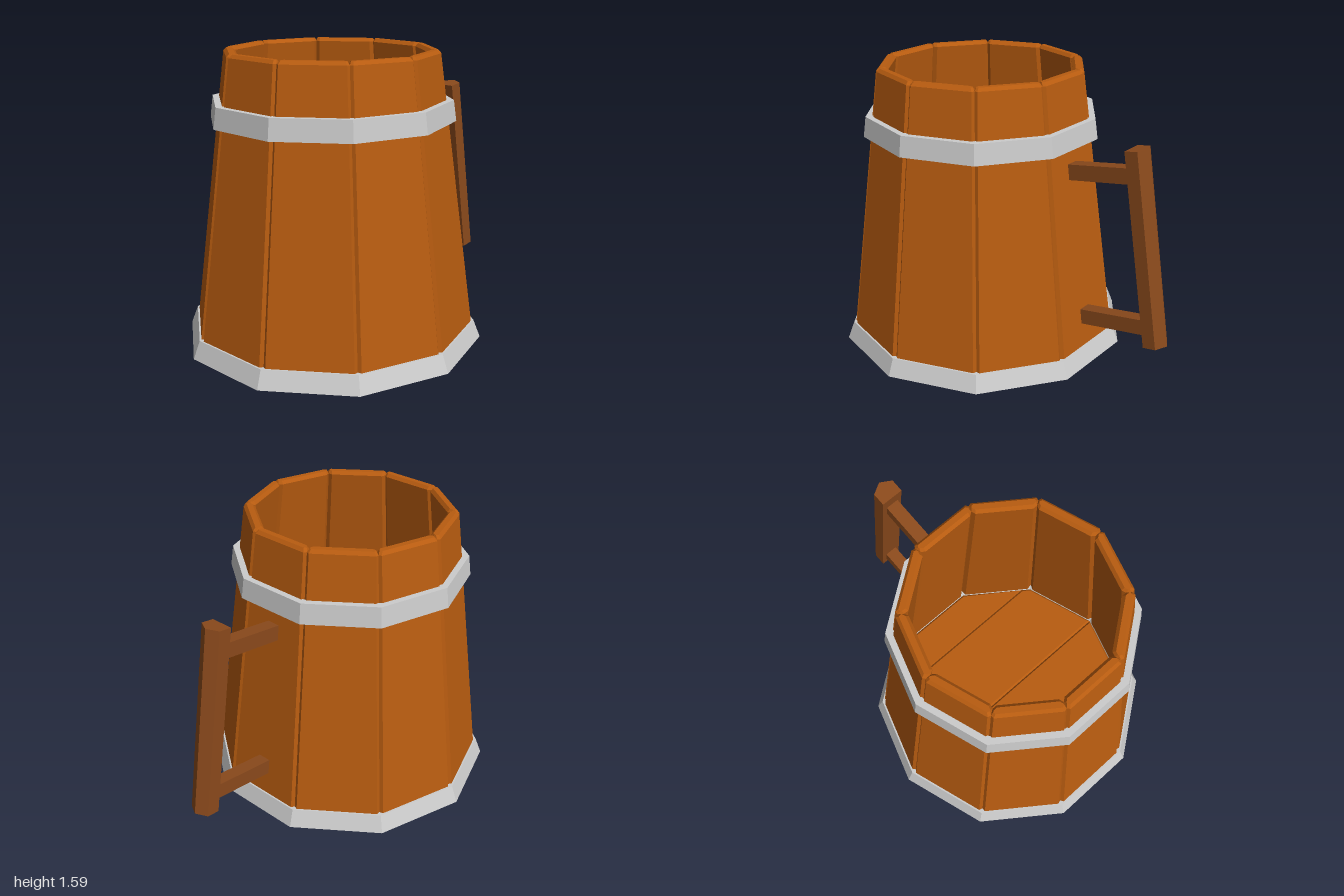
import * as THREE from 'three';

const SIDES = 10;
const STEP = (Math.PI * 2) / SIDES;
const T = Math.tan(STEP / 2);

const material = (color) => new THREE.MeshStandardMaterial({ color, flatShading: true });

function addMesh(parent, geometry, mat, name) {
  const mesh = new THREE.Mesh(geometry, mat);
  mesh.name = name;
  parent.add(mesh);
  return mesh;
}

// Ten-sided ring turned from a closed profile of [corner radius, y]
function ringGeometry(profile) {
  const points = [...profile, profile[0]].map(([r, y]) => new THREE.Vector2(r, y));
  return new THREE.LatheGeometry(points, SIDES, STEP / 2);
}

// Tapered plank with bevelled long edges, lofted through stacked cross-sections
function staveGeometry() {
  // [y, outer distance, inner distance, edge bevel]
  const levels = [
    [0.03, 0.742, 0.682, 0.018],
    [1.575, 0.545, 0.485, 0.015],
    [1.592, 0.53, 0.5, 0.012],
  ];
  const sections = levels.map(([y, a, b, c], i) => {
    const trim = i === 2 ? 0.008 : 0;
    const right = [
      [a * T - c - trim, a],
      [(a - c) * T - trim, a - c],
      [(b + c) * T - trim, b + c],
      [b * T - c - trim, b],
    ];
    const left = right.map(([x, z]) => [-x, z]).reverse();
    return [...right, ...left].map(([x, z]) => [x, y, z]);
  });
  const n = 8;
  const index = [];
  for (let l = 0; l < levels.length - 1; l++) {
    for (let i = 0; i < n; i++) {
      const a = l * n + i, b = l * n + ((i + 1) % n);
      index.push(a, b, b + n, a, b + n, a + n);
    }
  }
  const top = (levels.length - 1) * n;
  for (let i = 1; i < n - 1; i++) {
    index.push(0, i + 1, i);
    index.push(top, top + i, top + i + 1);
  }
  const geometry = new THREE.BufferGeometry();
  geometry.setAttribute('position', new THREE.Float32BufferAttribute(sections.flat(2), 3));
  geometry.setIndex(index);
  geometry.computeVertexNormals();
  return geometry;
}

// Strip of the ten-sided floor between two depths
function floorPlankGeometry(z0, z1, radius) {
  const corners = [-2, -1, 0, 1, 2].map((k) => [radius * Math.sin(k * STEP), radius * Math.cos(k * STEP)]);
  const halfWidth = (z) => {
    const i = Math.min(3, Math.max(0, corners.findIndex(([cz]) => cz >= z) - 1));
    const [[za, wa], [zb, wb]] = [corners[i], corners[i + 1]];
    return wa + ((wb - wa) * (z - za)) / (zb - za);
  };
  const inside = corners.map(([z]) => z).filter((z) => z > z0 + 0.001 && z < z1 - 0.001);
  const right = [z0, ...inside, z1].map((z) => new THREE.Vector2(halfWidth(z), z));
  const left = right.map((p) => new THREE.Vector2(-p.x, p.y)).reverse();
  const bevel = 0.012;
  const geometry = new THREE.ExtrudeGeometry(new THREE.Shape([...right, ...left]), {
    depth: 0.04, bevelEnabled: true, bevelSegments: 1,
    bevelSize: bevel, bevelThickness: bevel, bevelOffset: -bevel,
  });
  return geometry.rotateX(-Math.PI / 2);
}

export function createModel() {
  const model = new THREE.Group();
  model.name = 'tankard';
  const wood = material(0xb85c10);
  const darkWood = material(0x8b4a1c);
  const metal = material(0xcccccc);

  const body = new THREE.Group();
  body.name = 'body';
  body.position.z = 0.22;
  model.add(body);

  // Staves
  const stave = staveGeometry();
  for (let i = 0; i < SIDES; i++) {
    addMesh(body, stave, wood, 'stave').rotation.y = i * STEP;
  }

  // Floor planks
  const radius = 0.71;
  const edge = radius * Math.sin(2 * STEP);
  const cuts = [-edge, -0.45, 0, 0.45, edge];
  for (let i = 0; i < 4; i++) {
    addMesh(body, floorPlankGeometry(cuts[i], cuts[i + 1], radius), wood, 'floorPlank').position.y = 0.015;
  }

  // Metal bands
  addMesh(body, ringGeometry([[0.685, 0], [0.815, 0.025], [0.778, 0.12], [0.74, 0.12]]), metal, 'baseBand');
  addMesh(body, ringGeometry([[0.61, 1.225], [0.655, 1.225], [0.64, 1.335], [0.595, 1.335]]), metal, 'upperBand');

  // Handle, leaning with the wall
  const handle = new THREE.Group();
  handle.name = 'handle';
  handle.position.set(0, 0.255, -0.893);
  handle.rotation.x = 0.158;
  model.add(handle);

  const section = [[-0.063, 0], [0.063, 0], [0.063, 0.073], [0, 0.108], [-0.063, 0.073]];
  const grip = new THREE.ExtrudeGeometry(
    new THREE.Shape(section.map(([x, y]) => new THREE.Vector2(x, y))),
    { depth: 1.053, bevelEnabled: false },
  ).rotateX(-Math.PI / 2);
  addMesh(handle, grip, darkWood, 'grip');

  for (const y of [0.1, 0.917]) {
    addMesh(handle, new THREE.BoxGeometry(0.074, 0.084, 0.43), darkWood, 'handleArm').position.set(0, y, 0.195);
  }
  return model;
}
